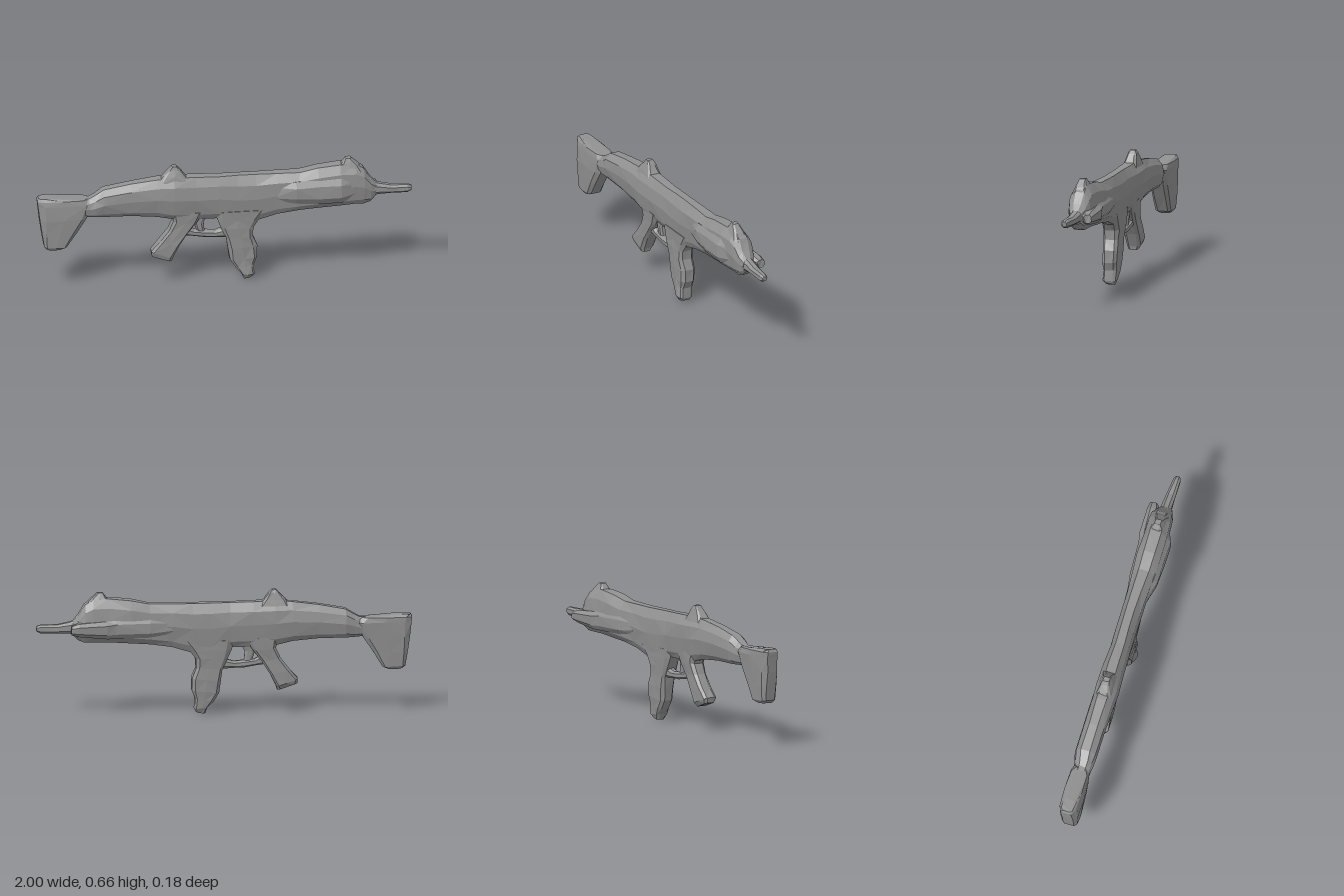
import * as THREE from 'three';

// Half cross-sections: [position from lower to upper edge, share of half width]
const ROUND = [[0, 0.45], [0.14, 0.8], [0.5, 1], [0.8, 0.9], [1, 0.42]];
const BOXY = [[0, 0.6], [0.12, 0.95], [0.5, 1], [0.88, 0.95], [1, 0.6]];
const OVAL = [[0, 0.4], [0.25, 0.9], [0.75, 0.9], [1, 0.4]];

export function createModel() {
  const model = new THREE.Group();
  const gunmetal = new THREE.MeshStandardMaterial({ color: 0x919191 });
  gunmetal.name = 'gunmetal grey';

  let seed = 7;
  const jitter = (amount) => {
    seed = (seed * 16807) % 2147483647;
    return (seed / 2147483647 - 0.5) * amount;
  };

  // Faceted loft; each section is [ax, ay, bx, by, zMin, zMax], where a and b lie on the side outline
  function loft(name, half, sections, rough = 0.006) {
    const profile = [...half, ...half.slice().reverse().map(([s, t]) => [s, -t])];
    const n = profile.length;
    const rings = sections.map(([ax, ay, bx, by, z0, z1]) => profile.map(([s, t]) => new THREE.Vector3(
      ax + (bx - ax) * s + jitter(rough),
      ay + (by - ay) * s + jitter(rough * 0.5),
      (z0 + z1) / 2 + t * (z1 - z0) / 2 + jitter(rough))));
    const tris = [];
    for (let i = 0; i < rings.length - 1; i++) {
      for (let j = 0; j < n; j++) {
        const a = rings[i][j], b = rings[i][(j + 1) % n];
        const c = rings[i + 1][(j + 1) % n], d = rings[i + 1][j];
        if ((i + j) % 2) tris.push([a, b, c], [a, c, d]);
        else tris.push([a, b, d], [b, c, d]);
      }
    }
    const first = rings[0], last = rings[rings.length - 1];
    for (let j = 1; j < n - 1; j++) {
      tris.push([first[0], first[j + 1], first[j]], [last[0], last[j], last[j + 1]]);
    }
    // Turn the faces outward whichever way the loft runs
    const origin = rings[0][0], u = new THREE.Vector3(), v = new THREE.Vector3(), w = new THREE.Vector3();
    let volume = 0;
    for (const [a, b, c] of tris) {
      volume += u.subVectors(a, origin).dot(v.subVectors(b, origin).cross(w.subVectors(c, origin)));
    }
    if (volume < 0) tris.forEach((t) => t.reverse());
    const geometry = new THREE.BufferGeometry().setFromPoints(tris.flat());
    geometry.computeVertexNormals();
    const mesh = new THREE.Mesh(geometry, gunmetal);
    mesh.name = name;
    model.add(mesh);
  }

  // Shoulder stock, widening towards the top
  loft('stock', BOXY, [
    [-0.945, 0.228, -0.875, 0.225, -0.015, 0.045],
    [-0.96, 0.245, -0.84, 0.24, -0.03, 0.058],
    [-0.972, 0.32, -0.79, 0.32, -0.035, 0.062],
    [-0.985, 0.40, -0.735, 0.40, -0.038, 0.064],
    [-0.995, 0.48, -0.70, 0.48, -0.042, 0.06],
    [-0.998, 0.508, -0.73, 0.507, -0.04, 0.055],
    [-0.99, 0.523, -0.92, 0.523, -0.025, 0.04],
  ], 0.004);

  // Receiver and handguard in one long body
  const body = [
    // x, bottom, top, zMin, zMax
    [-0.82, 0.42, 0.505, -0.032, 0.058],
    [-0.72, 0.405, 0.51, -0.034, 0.06],
    [-0.69, 0.402, 0.525, -0.04, 0.062],
    [-0.645, 0.402, 0.557, -0.05, 0.066],
    [-0.5, 0.40, 0.583, -0.05, 0.068],
    [-0.36, 0.39, 0.6, -0.052, 0.072],
    [-0.27, 0.37, 0.605, -0.052, 0.074],
    [-0.15, 0.36, 0.602, -0.05, 0.066],
    [-0.03, 0.36, 0.6, -0.046, 0.062],
    [0.07, 0.335, 0.6, -0.048, 0.06],
    [0.17, 0.335, 0.6, -0.05, 0.06],
    [0.28, 0.368, 0.6, -0.052, 0.064],
    [0.4, 0.385, 0.602, -0.06, 0.072],
    [0.5, 0.392, 0.622, -0.064, 0.074],
    [0.62, 0.398, 0.634, -0.062, 0.074],
    [0.7, 0.402, 0.63, -0.06, 0.066],
    [0.745, 0.403, 0.605, -0.058, 0.06],
    [0.78, 0.412, 0.545, -0.045, 0.05],
    [0.81, 0.44, 0.512, -0.025, 0.036],
  ];
  loft('body', ROUND, body.map(([x, b, t, z0, z1]) => [x, b, x, t, z0, z1]));

  // Barrel
  loft('barrel', OVAL, [
    [0.77, 0.44, 0.77, 0.525, -0.03, 0.042],
    [0.83, 0.448, 0.83, 0.508, -0.026, 0.036],
    [0.89, 0.449, 0.89, 0.495, -0.022, 0.034],
    [0.98, 0.45, 0.98, 0.494, -0.012, 0.034],
    [1.0, 0.46, 1.0, 0.485, -0.004, 0.026],
  ], 0.003);

  // Swellings on both sides of the handguard
  loft('leftHandguardPod', OVAL, [
    [0.26, 0.45, 0.26, 0.53, 0.02, 0.056],
    [0.38, 0.435, 0.38, 0.56, 0.01, 0.092],
    [0.5, 0.43, 0.5, 0.57, 0.01, 0.094],
    [0.62, 0.43, 0.62, 0.57, 0.01, 0.094],
    [0.7, 0.45, 0.7, 0.55, 0.02, 0.06],
  ]);
  loft('rightHandguardPod', OVAL, [
    [0.28, 0.44, 0.28, 0.52, -0.054, -0.01],
    [0.4, 0.425, 0.4, 0.53, -0.074, 0],
    [0.58, 0.425, 0.58, 0.53, -0.078, 0],
    [0.63, 0.425, 0.63, 0.52, -0.092, 0],
    [0.78, 0.44, 0.78, 0.51, -0.094, -0.015],
    [0.82, 0.452, 0.82, 0.496, -0.088, -0.04],
  ]);

  // Sights
  loft('rearSight', BOXY, [
    [-0.35, 0.58, -0.18, 0.58, -0.034, 0.052],
    [-0.325, 0.612, -0.21, 0.612, -0.026, 0.042],
    [-0.295, 0.645, -0.236, 0.648, -0.018, 0.03],
    [-0.278, 0.665, -0.252, 0.665, -0.01, 0.024],
  ], 0.004);
  loft('frontSight', BOXY, [
    [0.58, 0.6, 0.75, 0.59, -0.036, 0.05],
    [0.625, 0.635, 0.715, 0.628, -0.026, 0.036],
    [0.648, 0.664, 0.676, 0.664, -0.012, 0.022],
  ], 0.004);

  // Pistol grip, raked backwards
  loft('pistolGrip', BOXY, [
    [-0.29, 0.42, -0.11, 0.40, -0.04, 0.058],
    [-0.27, 0.355, -0.15, 0.34, -0.036, 0.054],
    [-0.295, 0.3, -0.195, 0.28, -0.032, 0.05],
    [-0.345, 0.235, -0.24, 0.215, -0.032, 0.05],
    [-0.39, 0.185, -0.275, 0.145, -0.03, 0.05],
    [-0.385, 0.157, -0.282, 0.124, -0.018, 0.04],
  ]);

  // Trigger and its guard
  loft('trigger', OVAL, [
    [-0.17, 0.38, -0.09, 0.37, -0.016, 0.03],
    [-0.165, 0.34, -0.108, 0.335, -0.012, 0.026],
    [-0.15, 0.3, -0.105, 0.295, -0.01, 0.024],
    [-0.135, 0.27, -0.095, 0.27, -0.008, 0.022],
  ], 0.003);
  loft('triggerGuard', OVAL, [
    [-0.225, 0.265, -0.21, 0.32, -0.02, 0.035],
    [-0.165, 0.258, -0.16, 0.292, -0.018, 0.032],
    [-0.1, 0.247, -0.1, 0.287, -0.018, 0.032],
    [-0.05, 0.246, -0.05, 0.282, -0.018, 0.034],
    [0.04, 0.24, 0.04, 0.31, -0.022, 0.038],
  ], 0.003);

  // Magazine with a narrowed foot
  loft('magazine', BOXY, [
    [-0.05, 0.40, 0.23, 0.40, -0.042, 0.056],
    [-0.035, 0.35, 0.185, 0.345, -0.04, 0.056],
    [-0.018, 0.305, 0.153, 0.3, -0.036, 0.054],
    [0.01, 0.245, 0.15, 0.25, -0.034, 0.054],
    [0.02, 0.18, 0.174, 0.195, -0.032, 0.052],
    [0.03, 0.115, 0.174, 0.13, -0.03, 0.052],
    [0.06, 0.07, 0.155, 0.085, -0.024, 0.05],
    [0.09, 0.035, 0.16, 0.03, -0.02, 0.055],
    [0.105, 0.003, 0.15, 0.012, -0.006, 0.038],
  ]);

  return model;
}
